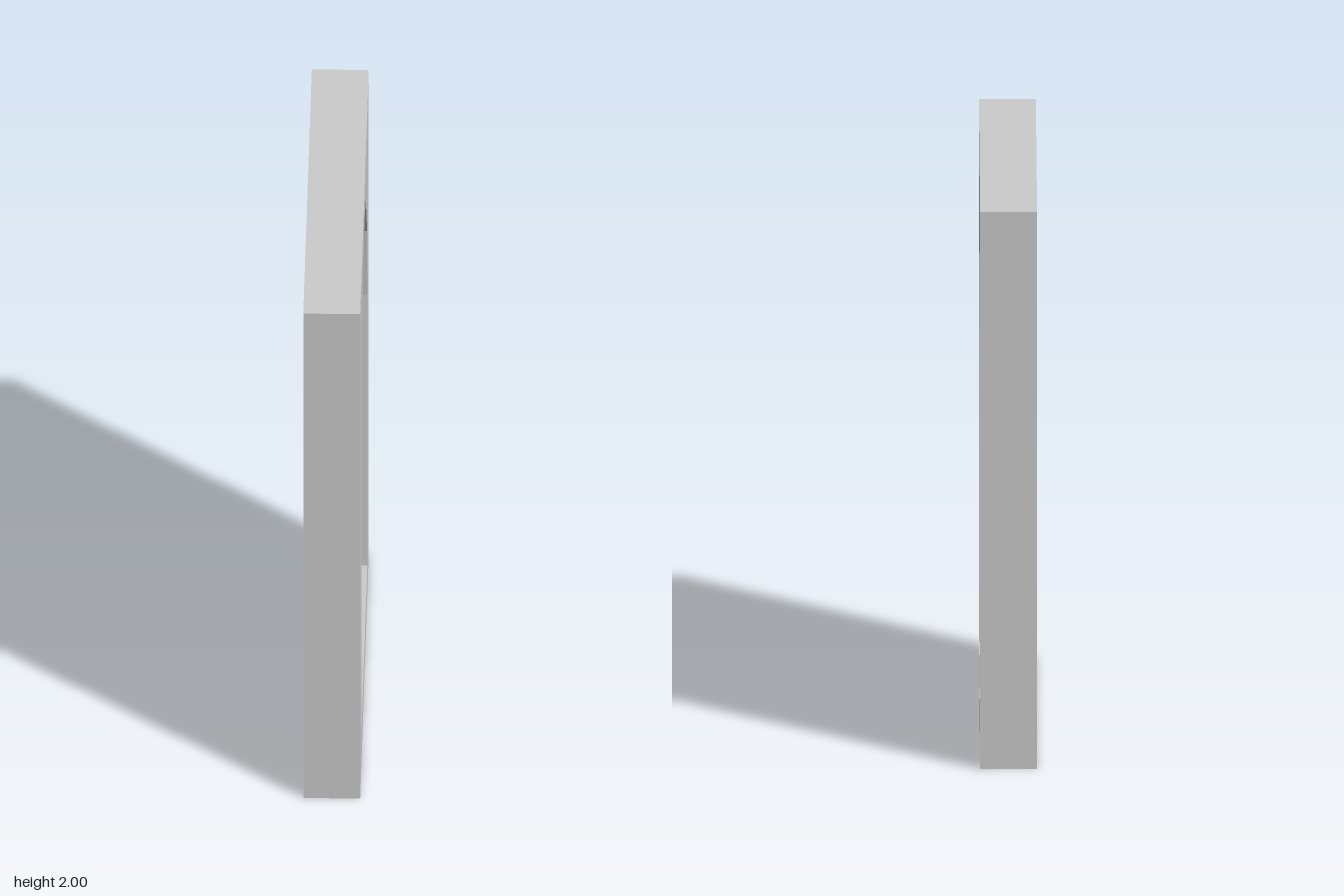
import * as THREE from 'three';

const WIDTH = 1.574, HEIGHT = 2, THICKNESS = 0.198, RECESS = 0.062;

// Right half of the faceted arch, from the sill to the crown
const HALF_ARCH = [[0.527, 0.12], [0.527, 1.24], [0.491, 1.525], [0.262, 1.8], [0, 1.88]];

function archPoints() {
  const mirrored = HALF_ARCH.slice(0, -1).reverse().map(([u, y]) => [-u, y]);
  return [...HALF_ARCH, ...mirrored].map(([u, y]) => new THREE.Vector2(u, y));
}

export function createModel() {
  const group = new THREE.Group();
  group.name = 'archedPanel';
  const material = new THREE.MeshStandardMaterial({ color: 0xcccccc, flatShading: true });

  // Rectangular slab with the arch cut through it
  const w = WIDTH / 2;
  const outline = new THREE.Shape([
    new THREE.Vector2(-w, 0), new THREE.Vector2(w, 0),
    new THREE.Vector2(w, HEIGHT), new THREE.Vector2(-w, HEIGHT),
  ]);
  outline.holes.push(new THREE.Path(archPoints()));
  const frameGeometry = new THREE.ExtrudeGeometry(outline, { depth: THICKNESS, bevelEnabled: false });
  frameGeometry.translate(0, 0, -THICKNESS / 2).rotateY(Math.PI / 2);
  const frame = new THREE.Mesh(frameGeometry, material);
  frame.name = 'frame';
  group.add(frame);

  // Sunken faces of the arched panel, one on each broad side
  for (const side of [1, -1]) {
    const face = new THREE.ShapeGeometry(new THREE.Shape(archPoints()));
    face.translate(0, 0, THICKNESS / 2 - RECESS).rotateY(side * Math.PI / 2);
    const panel = new THREE.Mesh(face, material);
    panel.name = side > 0 ? 'leftRecessedPanel' : 'rightRecessedPanel';
    group.add(panel);
  }
  return group;
}
